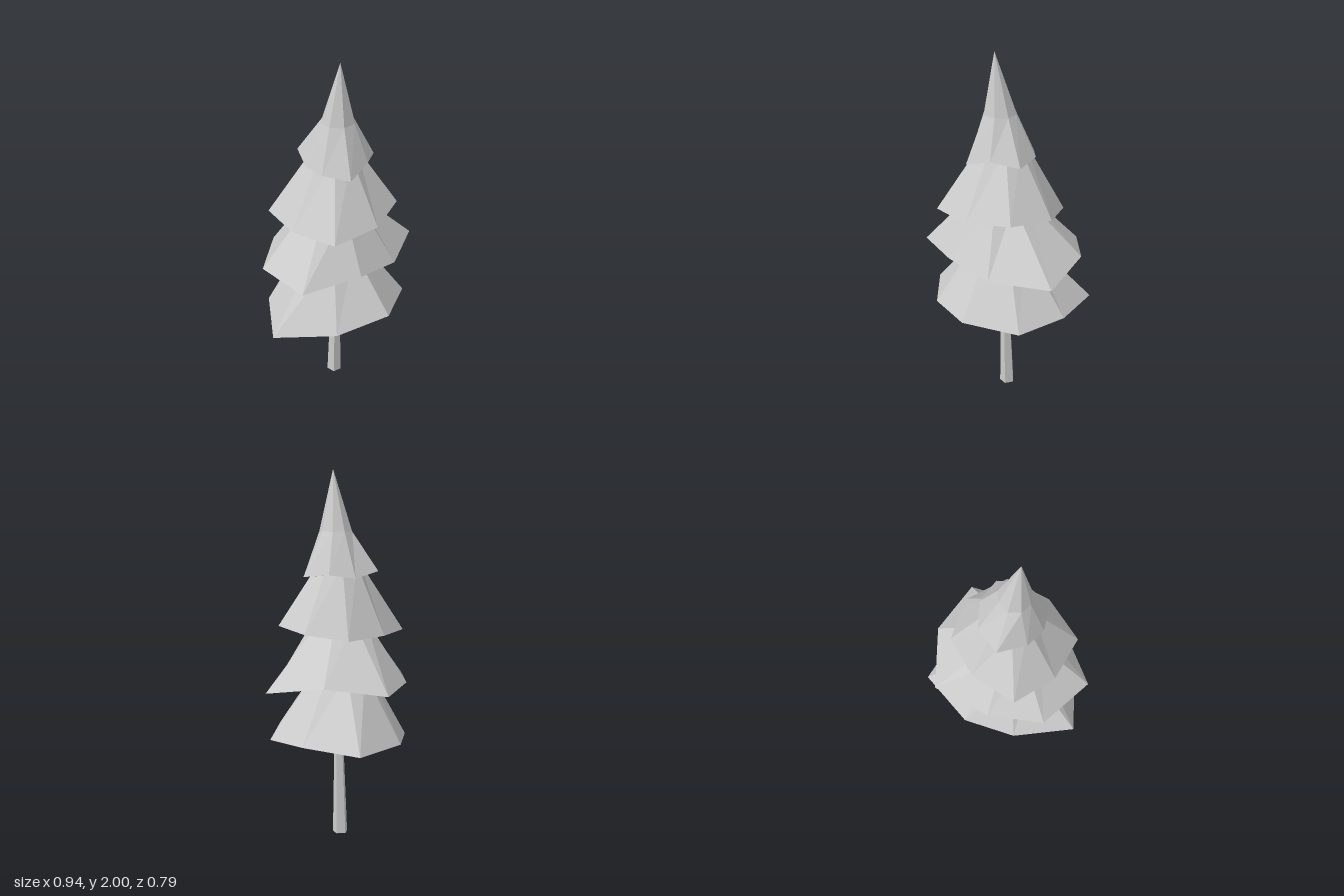
import * as THREE from 'three';

// Faceted solid from stacked rings of [x, y, z], closed by a point below and above
function loft(rings, bottom, top) {
  const pos = [];
  const tri = (a, b, c) => pos.push(...a, ...b, ...c);
  const n = rings[0].length;
  for (let i = 0; i < n; i++) {
    const j = (i + 1) % n;
    tri(bottom, rings[0][i], rings[0][j]);
    for (let k = 0; k < rings.length - 1; k++) {
      const lo = rings[k], hi = rings[k + 1];
      tri(lo[j], lo[i], hi[i]);
      tri(lo[j], hi[i], hi[j]);
    }
    const last = rings[rings.length - 1];
    tri(last[j], last[i], top);
  }
  const geo = new THREE.BufferGeometry();
  geo.setAttribute('position', new THREE.Float32BufferAttribute(pos, 3));
  geo.computeVertexNormals(); // unshared corners give flat facets
  return geo;
}

// Round ring around centre c, lined up with the corners of the skirt
const roundRing = (skirt, c, r) => skirt.map(([x, , z]) => {
  const d = Math.hypot(x - c[0], z - c[2]);
  return [c[0] + (x - c[0]) / d * r, c[1], c[2] + (z - c[2]) / d * r];
});

// Regular ring with a corner towards +x
const regularRing = (n, c, r) => Array.from({ length: n }, (_, i) => {
  const a = i / n * Math.PI * 2;
  return [c[0] + Math.cos(a) * r, c[1], c[2] + Math.sin(a) * r];
});

// Each tier: ragged skirt corners, underside point, upper ring and its tip
const tiers = [
  {
    name: 'bottomTier', base: [0.03, 0.515, 0], neck: [0.01, 0.92, 0], r: 0.15, tip: [0.01, 0.95, 0],
    skirt: [[0.045, 0.55, -0.38], [0.385, 0.55, -0.32], [0.425, 0.57, 0], [0.32, 0.555, 0.27],
      [0.03, 0.585, 0.39], [-0.26, 0.555, 0.26], [-0.47, 0.53, -0.015], [-0.23, 0.54, -0.27]],
  },
  {
    name: 'lowerMiddleTier', base: [0.02, 0.835, 0], neck: [0, 1.2, 0.015], r: 0.14, tip: [0, 1.23, 0.015],
    skirt: [[-0.1, 0.86, -0.34], [0.23, 0.845, -0.4], [0.435, 0.895, -0.135], [0.47, 0.845, 0.195],
      [0.155, 0.85, 0.325], [-0.12, 0.895, 0.31], [-0.415, 0.865, 0.155], [-0.365, 0.86, -0.175]],
  },
  {
    name: 'upperMiddleTier', base: [0.02, 1.125, 0.02], neck: [0.02, 1.5, 0.01], r: 0.115, tip: [0.02, 1.53, 0.01],
    skirt: [[0.05, 1.13, -0.28], [0.275, 1.12, -0.19], [0.35, 1.15, 0.03], [0.25, 1.17, 0.255],
      [0.005, 1.145, 0.315], [-0.255, 1.125, 0.24], [-0.3, 1.13, -0.01], [-0.22, 1.13, -0.255]],
  },
  {
    name: 'topTier', base: [0.02, 1.435, 0.02], neck: [0.015, 1.67, 0.035], r: 0.09, tip: [0, 2, 0.06],
    skirt: [[-0.05, 1.46, -0.19], [0.11, 1.43, -0.14], [0.2, 1.45, -0.03], [0.21, 1.435, 0.12],
      [0.07, 1.46, 0.19], [-0.08, 1.415, 0.2], [-0.15, 1.43, 0.065], [-0.14, 1.44, -0.055]],
  },
];

export function createModel() {
  const group = new THREE.Group();
  group.name = 'pineTree';
  const grey = new THREE.MeshStandardMaterial({ color: 0xcccccc });
  grey.name = 'light grey';

  const add = (name, geo) => {
    const mesh = new THREE.Mesh(geo, grey);
    mesh.name = name;
    group.add(mesh);
  };

  // Foliage
  for (const t of tiers) {
    add(t.name, loft([t.skirt, roundRing(t.skirt, t.neck, t.r)], t.base, t.tip));
  }

  // Five-sided tapering trunk, leaning slightly
  const foot = [0.038, 0, -0.005], head = [0.032, 0.56, 0.007];
  add('trunk', loft([regularRing(5, foot, 0.042), regularRing(5, head, 0.025)], foot, head));

  return group;
}
